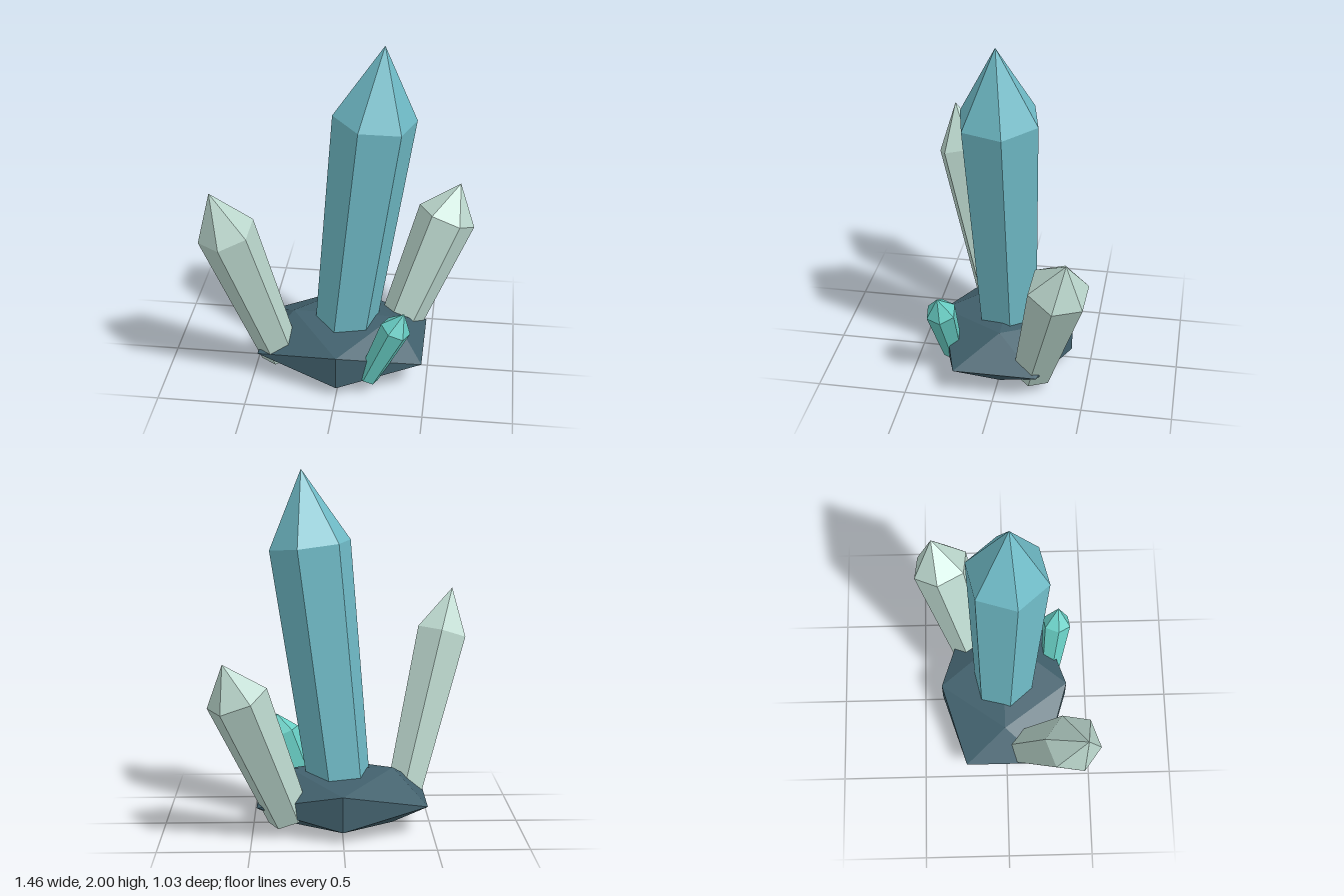
import * as THREE from 'three';

const material = (color) => new THREE.MeshStandardMaterial({ color, flatShading: true });

// Six-sided crystal that widens from base to shoulder, then closes to a point.
// facing is the [x, z] direction of one of its edges.
function crystal({ name, color, base, tip, r0, r1, point, facing }) {
  const foot = new THREE.Vector3(...base);
  const axis = new THREE.Vector3(...tip).sub(foot);
  const length = axis.length();
  axis.normalize();

  const profile = [[0, 0], [r0, 0], [r1, length - point], [0, length]]
    .map(([r, y]) => new THREE.Vector2(r, y));
  const geometry = new THREE.LatheGeometry(profile, 6, Math.PI / 2);

  // Lean the crystal along its axis with an edge turned to the facing direction
  const [fx, fz] = facing;
  const side = new THREE.Vector3(fx, -(axis.x * fx + axis.z * fz) / axis.y, fz).normalize();
  const depth = new THREE.Vector3().crossVectors(side, axis);
  geometry.applyMatrix4(new THREE.Matrix4().makeBasis(side, axis, depth).setPosition(foot));

  const mesh = new THREE.Mesh(geometry, material(color));
  mesh.name = name;
  return mesh;
}

export function createModel() {
  const model = new THREE.Group();
  model.name = 'crystalCluster';

  // Flattened rock
  const rock = new THREE.Mesh(new THREE.IcosahedronGeometry(1, 0), material(0x41606c));
  rock.name = 'rockBase';
  rock.scale.set(0.555, 0.189, 0.447);
  rock.position.set(0.002, 0.161, -0.008);
  model.add(rock);

  // Crystals
  const crystals = [
    { name: 'mainCrystal', color: 0x70bcc8, base: [0.01, 0.2, -0.015], tip: [0.222, 2, 0.022],
      r0: 0.178, r1: 0.232, point: 0.418, facing: [0.2225, -0.05] },
    { name: 'rightTallCrystal', color: 0xbcd8ce, base: [-0.358, 0.12, 0.117], tip: [-0.66, 1.29, 0.42],
      r0: 0.112, r1: 0.161, point: 0.273, facing: [0.138, -0.056] },
    { name: 'leftCrystal', color: 0xbcd8ce, base: [0.298, 0.1, -0.2], tip: [0.64, 1, -0.415],
      r0: 0.118, r1: 0.172, point: 0.21, facing: [0.161, 0.015] },
    { name: 'smallCrystal', color: 0x68cec4, base: [0.177, 0.095, 0.285], tip: [0.376, 0.56, 0.328],
      r0: 0.06, r1: 0.088, point: 0.117, facing: [0.08, -0.01] },
  ];
  for (const spec of crystals) model.add(crystal(spec));

  return model;
}
